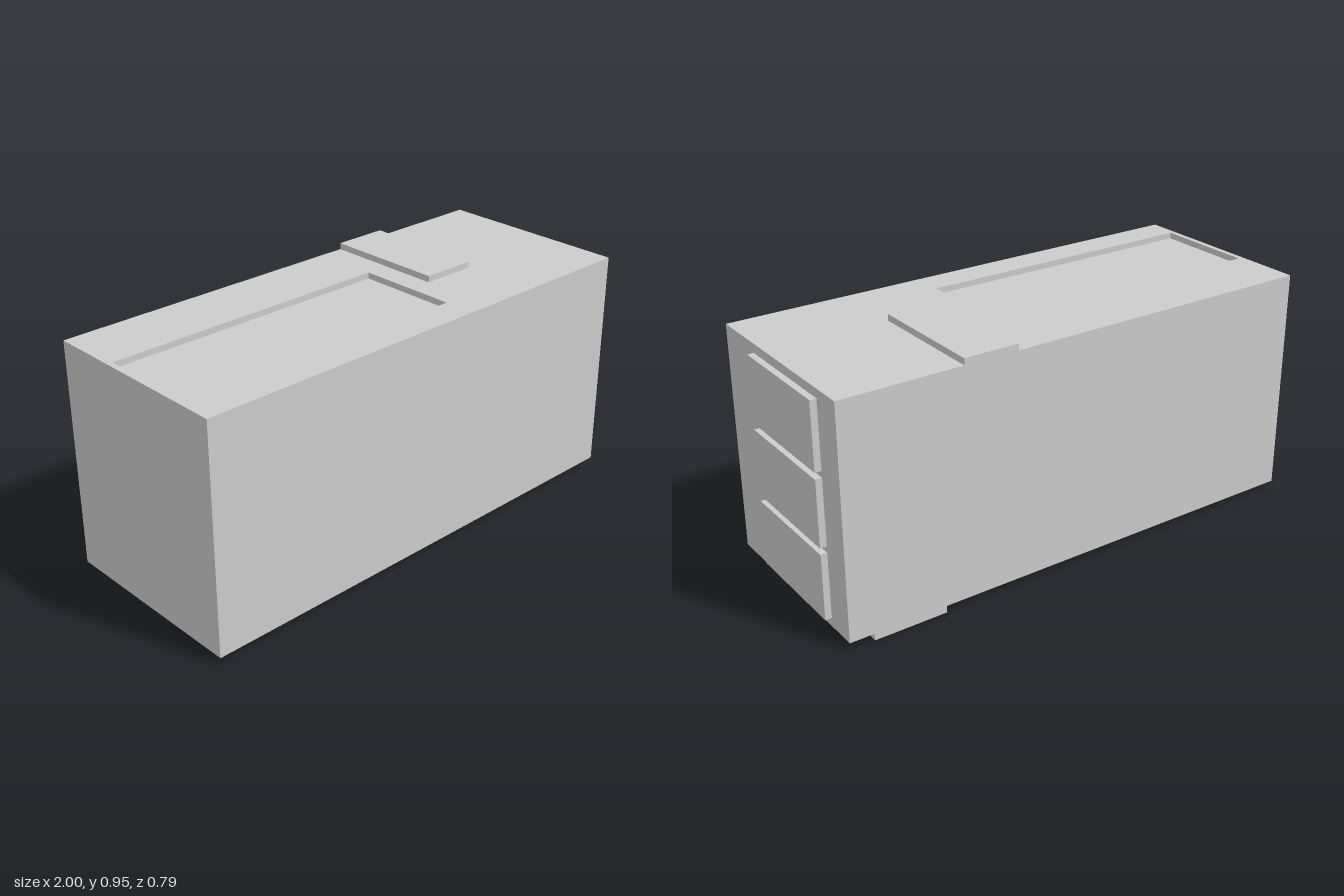
import * as THREE from 'three';

const grey = new THREE.MeshStandardMaterial({ color: 0xcccccc });

// Box given by its extents along each axis
function box([x0, x1], [y0, y1], [z0, z1]) {
  return new THREE.BoxGeometry(x1 - x0, y1 - y0, z1 - z0)
    .translate((x0 + x1) / 2, (y0 + y1) / 2, (z0 + z1) / 2);
}

// Remove the top face of a box; optionally turn it inside out
function openTop(geometry, inward = false) {
  const index = Array.from(geometry.index.array);
  index.splice(12, 6);
  if (inward) index.reverse();
  geometry.setIndex(index);
  geometry.computeVertexNormals();
  return geometry;
}

export function createModel() {
  const model = new THREE.Group();
  const add = (name, geometry, parent = model) => {
    const mesh = new THREE.Mesh(geometry, grey);
    mesh.name = name;
    parent.add(mesh);
  };
  const addGroup = (name) => {
    const group = new THREE.Group();
    group.name = name;
    model.add(group);
    return group;
  };

  const bodyX = [-1, 0.975], bodyY = [0.027, 0.921], bodyZ = [-0.395, 0.395];
  const trayX = [-0.978, 0.184], trayZ = [-0.135, 0.271];
  const top = bodyY[1];

  // Main block, with a shallow tray sunk in its top
  const body = addGroup('body');
  add('bodyWalls', openTop(box(bodyX, bodyY, bodyZ)), body);
  const rectangle = (path, [x0, x1], [z0, z1]) =>
    path.moveTo(x0, -z0).lineTo(x1, -z0).lineTo(x1, -z1).lineTo(x0, -z1).closePath();
  const lid = rectangle(new THREE.Shape(), bodyX, bodyZ);
  lid.holes.push(rectangle(new THREE.Path(), trayX, trayZ));
  add('bodyTop', new THREE.ShapeGeometry(lid).rotateX(-Math.PI / 2).translate(0, top, 0), body);
  add('topTray', openTop(box(trayX, [top - 0.024, top], trayZ), true), body);

  // Raised plate on the top, flush with the back
  add('topPlate', box([0.278, 0.497], [top, 0.946], [-0.395, 0.091]));

  // Three stacked panels on the left end
  const panelZ = [-0.274, 0.177];
  const sidePanels = addGroup('sidePanels');
  for (let i = 0; i < 3; i++) {
    const y = 0.062 + i * 0.283;
    add('sidePanel', box([0.975, 1], [y, y + 0.258], panelZ), sidePanels);
  }

  // Row of six panels underneath
  const basePanels = addGroup('basePanels');
  for (let i = 0; i < 6; i++) {
    const x = -0.965 + i * 0.256;
    add('basePanel', box([x, x + 0.232], [0, bodyY[0]], panelZ), basePanels);
  }
  // Longer end panel reaching the back edge
  add('baseEndPanel', box([0.588, 0.878], [0, bodyY[0]], [-0.395, 0.177]), basePanels);

  return model;
}
